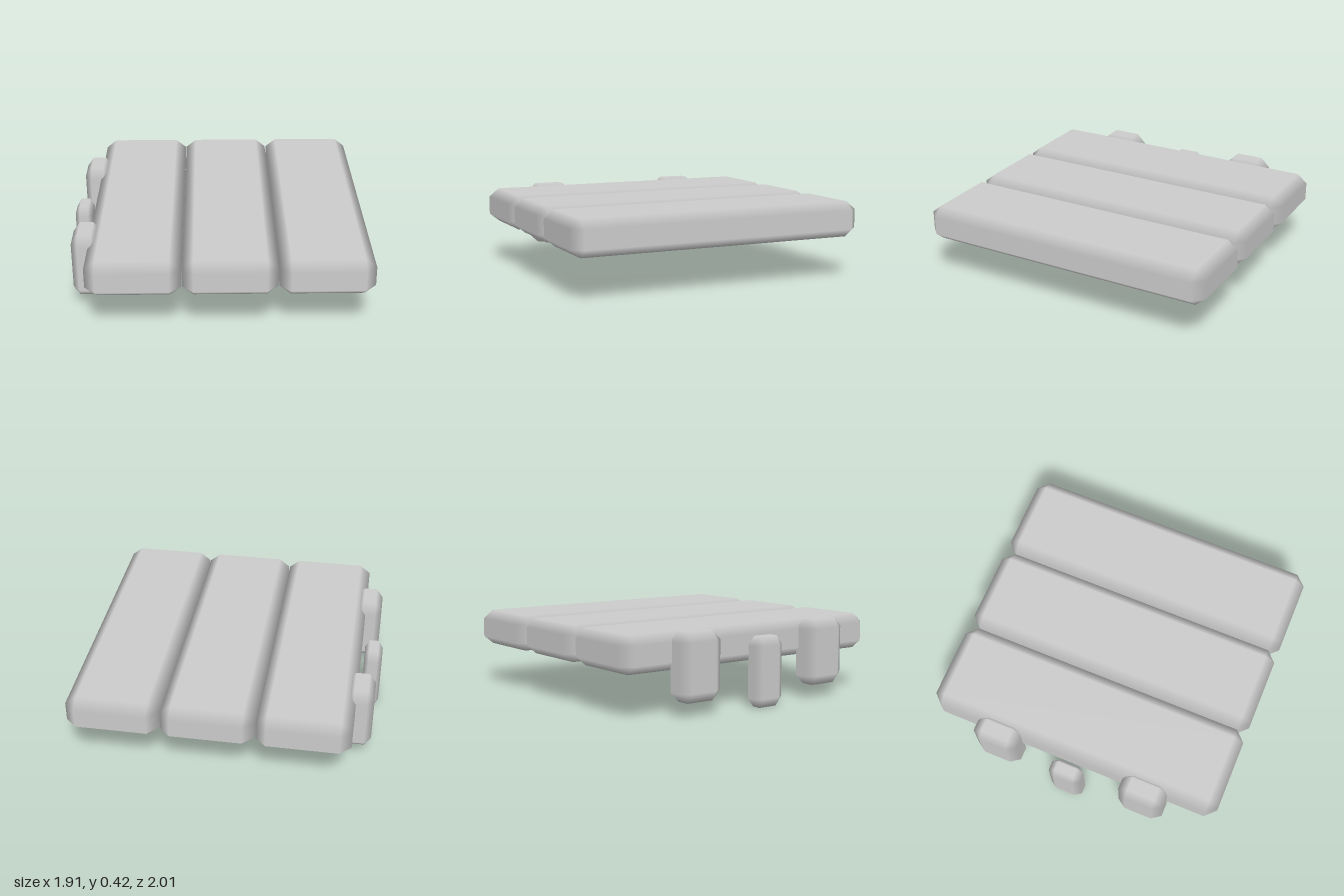
import * as THREE from 'three';
import { ConvexGeometry } from 'three/addons/geometries/ConvexGeometry.js';

const stone = new THREE.MeshStandardMaterial({ color: 0xcccccc });
stone.name = 'stone grey';

// Box with chamfered edges and corners; flat faces blend smoothly across the chamfers.
function chamferBox(half, cut) {
  const points = [];
  for (const sx of [-1, 1]) for (const sy of [-1, 1]) for (const sz of [-1, 1]) {
    const signs = [sx, sy, sz];
    for (let axis = 0; axis < 3; axis++) {
      points.push(new THREE.Vector3(...signs.map((s, i) => s * (half[i] - (i === axis ? 0 : cut[i])))));
    }
  }
  const geometry = new ConvexGeometry(points);
  const pos = geometry.attributes.position;
  const normal = geometry.attributes.normal;
  for (let i = 0; i < pos.count; i++) {
    const p = [pos.getX(i), pos.getY(i), pos.getZ(i)];
    // each point lies on exactly one main face and takes that face's normal
    normal.setXYZ(i, ...p.map((v, a) => (Math.abs(Math.abs(v) - half[a]) < 1e-4 ? Math.sign(v) : 0)));
  }
  return geometry;
}

export function createModel() {
  const model = new THREE.Group();
  model.name = 'plankPlatform';
  const turn = -0.386;

  function addBlock(name, half, cut, x, y, z) {
    const mesh = new THREE.Mesh(chamferBox(half, cut), stone);
    mesh.name = name;
    mesh.position.set(x, y, z);
    mesh.rotation.y = turn;
    model.add(mesh);
  }

  // Three long planks side by side
  ['rightPlank', 'middlePlank', 'leftPlank'].forEach((name, i) => {
    addBlock(name, [0.24, 0.095, 0.812], [0.056, 0.045, 0.056], (i - 1) * 0.45, 0.315, (i - 1) * 0.183);
  });

  // Two wide pegs and a narrow lower one along the right side
  const wide = [0.07, 0.174, 0.126];
  const wideCut = [0.035, 0.05, 0.05];
  addBlock('frontPeg', wide, wideCut, -0.848, 0.242, 0.108);
  addBlock('backPeg', wide, wideCut, -0.538, 0.242, -0.663);
  addBlock('middlePeg', [0.048, 0.18, 0.09], [0.024, 0.045, 0.036], -0.733, 0.18, -0.298);

  return model;
}
